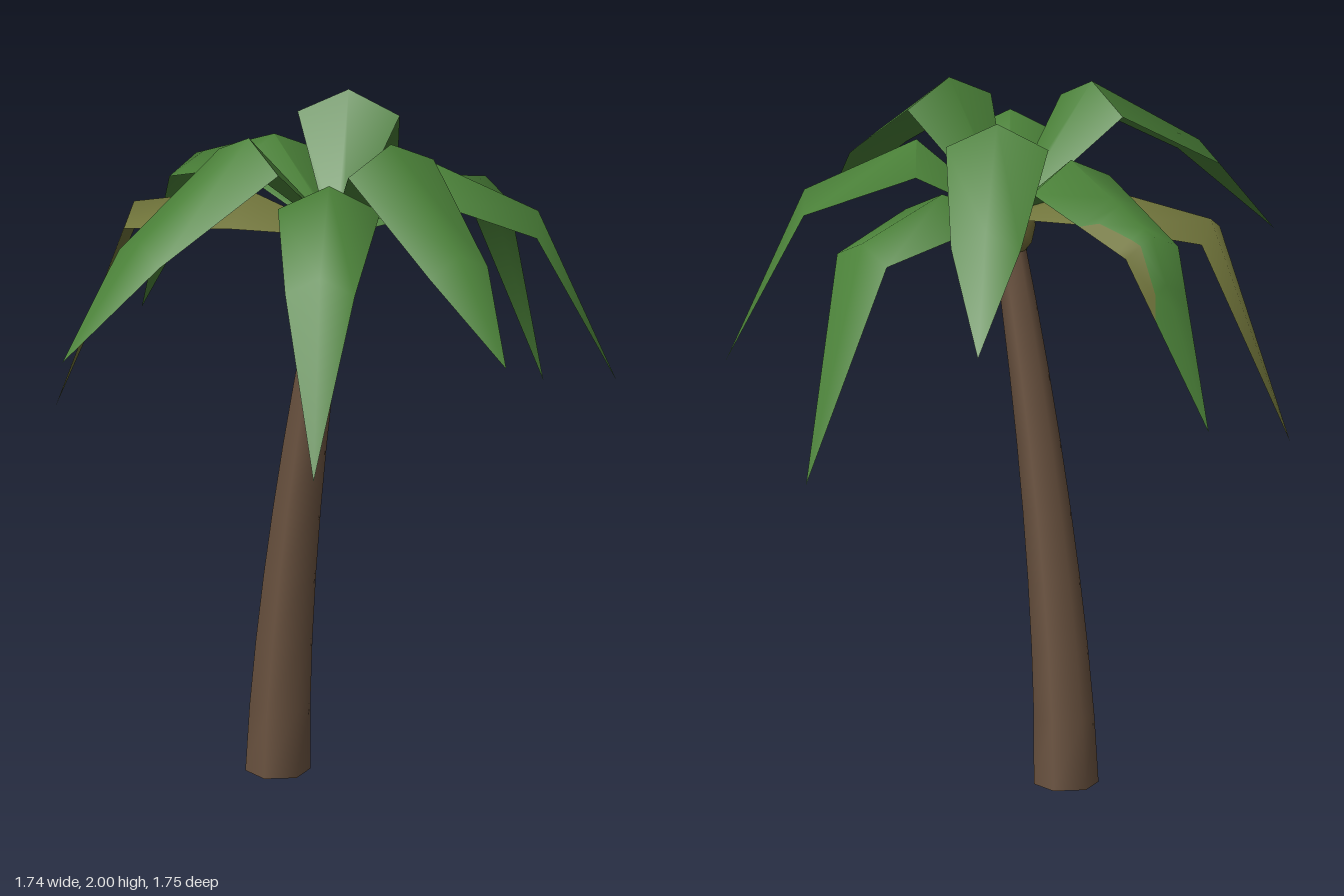
import * as THREE from 'three';
import { toCreasedNormals } from 'three/addons/utils/BufferGeometryUtils.js';

const CROWN = new THREE.Vector3(0, 1.66, -0.08);
const CREASE = 1.2;

function material(name, color, side = THREE.FrontSide) {
  const m = new THREE.MeshStandardMaterial({ color, side });
  m.name = name;
  return m;
}

// Arched leaf with an inverted-V section. Stations: base, shoulder, bend, tip.
// rows: [u, split]; the strip from split to the edge (s = 1) takes material 1.
function frondGeometry(tipX, tipZ, heights, rows) {
  const dx = tipX - CROWN.x, dz = tipZ - CROWN.z;
  const reach = Math.hypot(dx, dz), cx = dx / reach, cz = dz / reach;
  const radii = [0, 0.32, 0.72, 1].map(f => f * reach);
  const ys = [CROWN.y, ...heights];
  const halfWidths = [0.02, 0.147, 0.1, 0];
  const at = (list, u) => {
    const i = Math.min(Math.floor(u), 2);
    return THREE.MathUtils.lerp(list[i], list[i + 1], u - i);
  };
  const positions = [], leaf = [], spot = [];
  for (const [u, split] of rows) {
    const r = at(radii, u), w = at(halfWidths, u), y = at(ys, u);
    for (const s of [-1, 0, split, 1]) {
      positions.push(CROWN.x + cx * r - cz * w * s, y - 0.5 * w * Math.abs(s),
        CROWN.z + cz * r + cx * w * s);
    }
  }
  for (let i = 0; i < rows.length - 1; i++) {
    for (let j = 0; j < 3; j++) {
      if (j === 2 && rows[i][1] === 1 && rows[i + 1][1] === 1) continue;
      const a = i * 4 + j, b = a + 4, faces = j === 2 ? spot : leaf;
      faces.push(a, a + 1, b);
      if (i < rows.length - 2) faces.push(a + 1, b + 1, b);
    }
  }
  const g = new THREE.BufferGeometry();
  g.setAttribute('position', new THREE.Float32BufferAttribute(positions, 3));
  g.setIndex([...leaf, ...spot]);
  g.addGroup(0, leaf.length, 0);
  g.addGroup(leaf.length, spot.length, 1);
  return toCreasedNormals(g, CREASE);
}

export function createModel() {
  const bark = material('bark brown', 0x6b5340);
  const green = material('leaf green', 0x4a8038, THREE.DoubleSide);
  const dry = material('dry leaf olive', 0x71753b, THREE.DoubleSide);
  const budOlive = material('bud olive', 0x756f39);
  const palm = new THREE.Group();
  palm.name = 'palmTree';

  // Six-sided tapered trunk, bent towards the crown
  const trunkHeight = 1.6;
  const trunkGeo = new THREE.CylinderGeometry(0.045, 0.093, trunkHeight, 6, 8);
  trunkGeo.rotateY(Math.PI / 2).translate(0, trunkHeight / 2, 0);
  const p = trunkGeo.attributes.position;
  for (let i = 0; i < p.count; i++) {
    const t = Math.max(0, p.getY(i) / trunkHeight);
    p.setX(i, p.getX(i) - 0.185 + 0.185 * Math.pow(t, 1.5));
    p.setZ(i, p.getZ(i) - 0.005 - 0.07 * Math.pow(t, 1.8));
  }
  const trunk = new THREE.Mesh(toCreasedNormals(trunkGeo, CREASE), bark);
  trunk.name = 'trunk';
  palm.add(trunk);

  // Bud where the fronds meet
  const bud = new THREE.Mesh(new THREE.SphereGeometry(0.085, 8, 6), budOlive);
  bud.name = 'crownBud';
  bud.scale.y = 1.25;
  bud.position.set(0, 1.63, CROWN.z);
  palm.add(bud);

  // Leaf rows; the spotted leaf has a withered patch on its rear edge
  const plain = [[0, 1], [1, 1], [2, 1], [3, 1]];
  const spotted = [[0, 1], [1, 1], [1.5, 1], [1.6, 0.65], [1.9, 0.46],
    [2, 0.43], [2.25, 0.55], [2.36, 1], [3, 1]];

  // Fronds: tip x, tip z, heights of shoulder, bend and tip
  const fronds = [
    ['frontFrond', 0, 0.875, [2.0, 1.76, 1.45], plain, green],
    ['leftFrond', 0.867, -0.063, [2.0, 1.76, 1.49], plain, green],
    ['frontLeftFrond', 0.67, 0.47, [1.89, 1.73, 1.2], plain, green],
    ['rightFrond', -0.871, -0.012, [1.88, 1.73, 1.2], spotted, [green, dry]],
    ['dryFrond', -0.66, 0.437, [1.76, 1.69, 1.045], plain, dry],
    ['backRightFrond', -0.59, -0.624, [2.0, 1.77, 1.46], plain, green],
    ['backFrond', -0.115, -0.88, [1.77, 1.69, 1.02], plain, green],
    ['backLeftFrond', 0.488, -0.713, [1.88, 1.73, 1.22], plain, green],
  ];
  for (const [name, x, z, heights, rows, mat] of fronds) {
    const frond = new THREE.Mesh(frondGeometry(x, z, heights, rows), mat);
    frond.name = name;
    palm.add(frond);
  }
  return palm;
}
